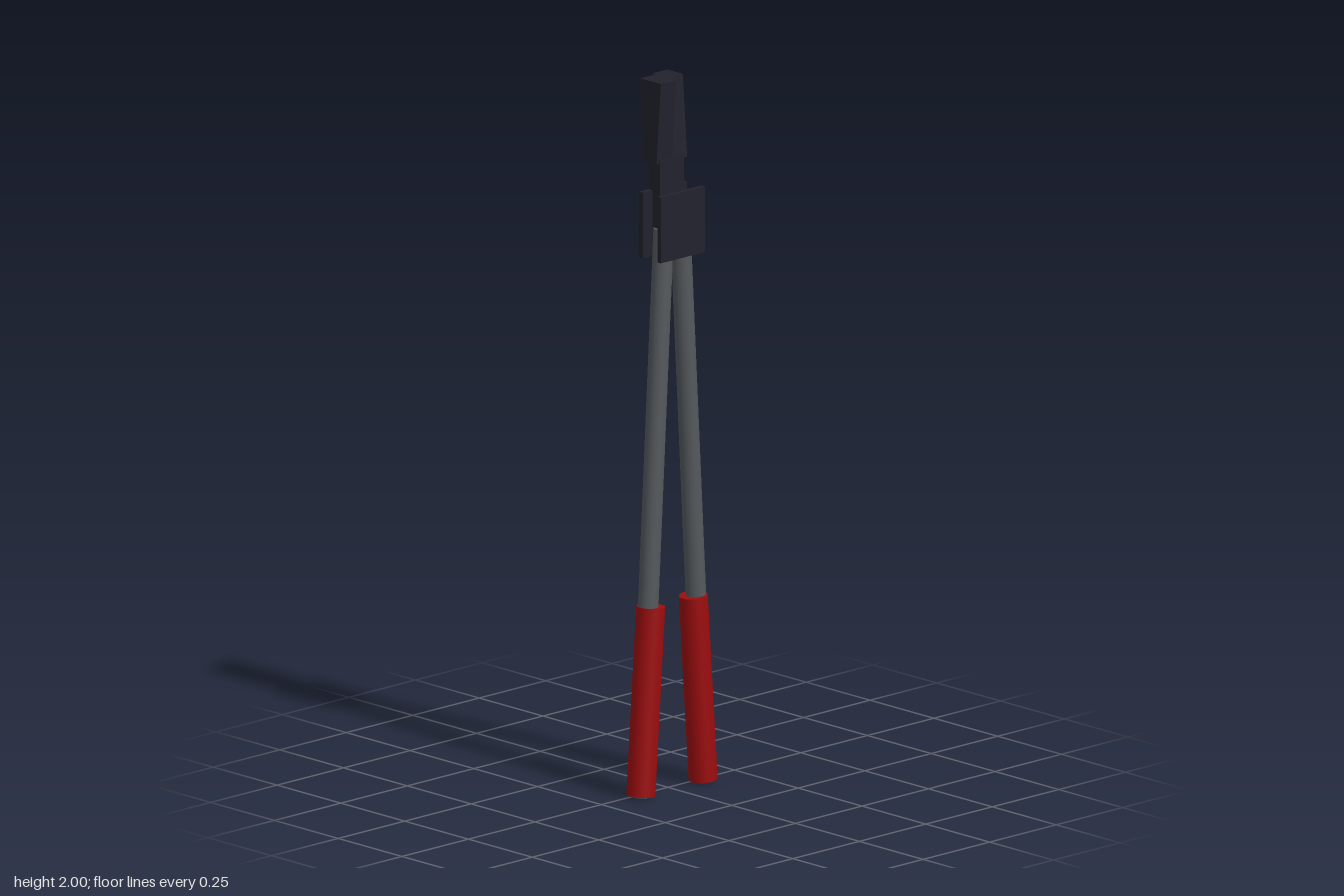
import * as THREE from 'three';

const mat = (name, color) => {
  const m = new THREE.MeshStandardMaterial({ color });
  m.name = name;
  return m;
};

export function createModel() {
  const model = new THREE.Group();
  const darkSteel = mat('dark steel', 0x22222e);
  const greySteel = mat('grey steel', 0x54595c);
  const redRubber = mat('red rubber', 0x9c0d0f);

  const add = (name, geometry, material) => {
    const mesh = new THREE.Mesh(geometry, material);
    mesh.name = name;
    model.add(mesh);
  };

  // Box given by its limits on each axis
  const box = (x0, x1, y0, y1, z0, z1) =>
    new THREE.BoxGeometry(x1 - x0, y1 - y0, z1 - z0)
      .translate((x0 + x1) / 2, (y0 + y1) / 2, (z0 + z1) / 2);

  // Side profile in (z, y) extruded across x
  const profile = (points, x0, x1) => {
    const shape = new THREE.Shape(points.map(([z, y]) => new THREE.Vector2(-z, y)));
    return new THREE.ExtrudeGeometry(shape, { depth: x1 - x0, bevelEnabled: false })
      .rotateY(Math.PI / 2).translate(x0, 0, 0);
  };

  // Cylinder running between two points
  const rod = (a, b, radius, sides) => {
    const dir = b.clone().sub(a);
    const q = new THREE.Quaternion().setFromUnitVectors(
      new THREE.Vector3(0, 1, 0), dir.clone().normalize());
    const mid = a.clone().add(b).multiplyScalar(0.5);
    return new THREE.CylinderGeometry(radius, radius, dir.length(), sides)
      .applyQuaternion(q).translate(mid.x, mid.y, mid.z);
  };

  // Long handles with rubber grips; the rod end shows at the grip's foot
  const z = 0.016;
  for (const [side, s] of [['left', 1], ['right', -1]]) {
    const at = (x, y) => new THREE.Vector3(s * x, y, z);
    add(side + 'HandleRod', rod(at(0.119, 0.002), at(0.031, 1.585), 0.028, 16), greySteel);
    add(side + 'Grip', rod(at(0.117, 0.005), at(0.08, 0.53), 0.0395, 16), redRubber);
    // Arm joining the pivot plates to the jaw
    add(side + 'JawArm', box(s > 0 ? 0 : -0.046, s > 0 ? 0.046 : 0, 1.585, 1.78, -0.0285, 0.016), darkSteel);
  }

  // Pivot plates in front of and behind the rods
  add('frontPlate', box(-0.083, 0.083, 1.505, 1.69, 0.045, 0.059), darkSteel);
  add('backPlate', box(-0.083, 0.083, 1.505, 1.69, -0.028, -0.012), darkSteel);

  // Jaws: one leans back, the other flares forward
  add('leftJaw', profile([[-0.045, 1.77], [0.016, 1.77], [-0.001, 2], [-0.062, 2]].reverse(), 0, 0.057), darkSteel);
  add('rightJaw', profile([[-0.042, 1.77], [0.015, 1.77], [0.032, 2], [-0.048, 2]].reverse(), -0.057, 0), darkSteel);

  return model;
}
